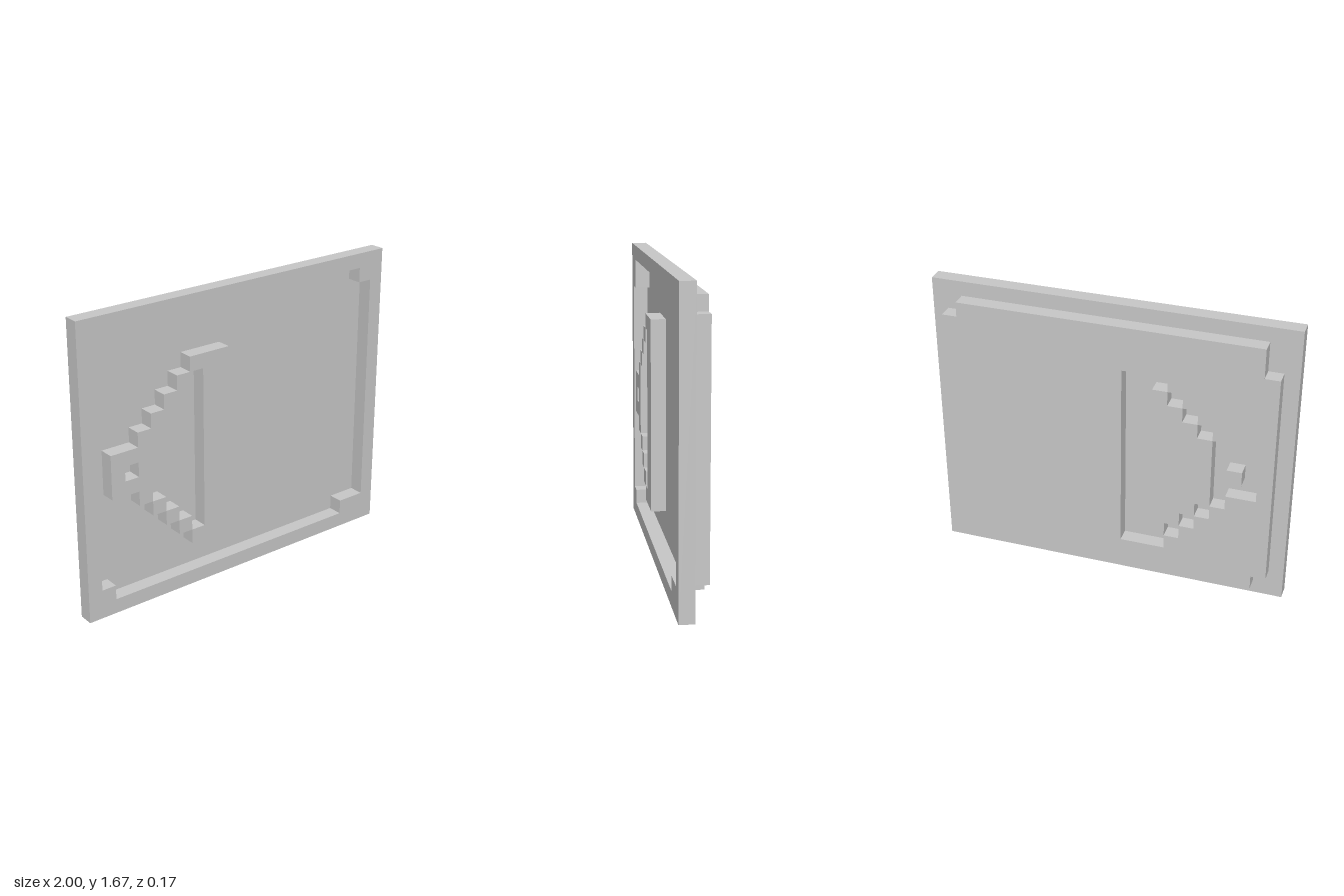
import * as THREE from 'three';

const U = 1 / 12; // one grid cell; all outlines are in cells

const material = new THREE.MeshStandardMaterial({ color: 0xc8c8c8 });
material.name = 'lightGrey';

const rect = (x0, y0, x1, y1) => [[x0, y0], [x1, y0], [x1, y1], [x0, y1]];

// The arrow is symmetric about y = 9.5: complete an upper outline with its mirror image
const mirrored = (upper) => [...upper, ...upper.map(([x, y]) => [x, 19 - y]).reverse()];

const toPoints = (cells) => cells.map(([x, y]) => new THREE.Vector2(x * U, y * U));

// One-cell-thick slab from an outline, with optional holes, starting at layer z
function slab(name, outline, z, holes = []) {
  const shape = new THREE.Shape(toPoints(outline));
  holes.forEach((h) => shape.holes.push(new THREE.Path(toPoints(h))));
  const geometry = new THREE.ExtrudeGeometry(shape, { depth: U, bevelEnabled: false });
  geometry.translate(0, 0, z * U);
  const mesh = new THREE.Mesh(geometry, material);
  mesh.name = name;
  return mesh;
}

export function createModel() {
  const model = new THREE.Group();
  model.name = 'reliefPlaque';
  const FRONT = 0, BACK = -1;

  // Outlines
  const panel = [[-10, 1], [9, 1], [9, 2], [11, 2], [11, 18], [10, 18], [10, 19],
    [-10, 19], [-10, 17], [-11, 17], [-11, 2], [-10, 2]];
  const arrow = mirrored([[-1, 16], [-4, 16], [-4, 15], [-5, 15], [-5, 14], [-6, 14],
    [-6, 13], [-7, 13], [-7, 12], [-8, 12], [-8, 11], [-10, 11]]);
  const core = mirrored([[-3, 15], [-4, 15], [-4, 14], [-5, 14], [-5, 13], [-6, 13],
    [-6, 12], [-7, 12]]);
  const nose = mirrored([[-7, 12], [-8, 12], [-8, 11], [-10, 11]]);
  const bar = mirrored([[-1, 16], [-4, 16], [-4, 15], [-3, 15]]);
  const eye = rect(-9, 9, -8, 10);

  // Front layer: border frame and raised arrow outline
  model.add(slab('frame', rect(-12, 0, 12, 20), FRONT, [panel]));
  const ring = new THREE.Group();
  ring.name = 'arrowOutline';
  ring.add(slab('arrowBar', bar, FRONT), slab('arrowNose', nose, FRONT, [eye]));
  for (let i = 0; i < 3; i++) {
    ring.add(slab('upperStep', rect(-5 - i, 14 - i, -4 - i, 15 - i), FRONT));
    ring.add(slab('lowerStep', rect(-5 - i, 4 + i, -4 - i, 5 + i), FRONT));
  }
  model.add(ring);

  // Back layer: the panel and the islands that close the arrow's openings
  model.add(slab('backPanel', panel, BACK, [arrow]));
  model.add(slab('arrowCore', core, BACK));
  model.add(slab('noseSquare', eye, BACK));

  return model;
}
